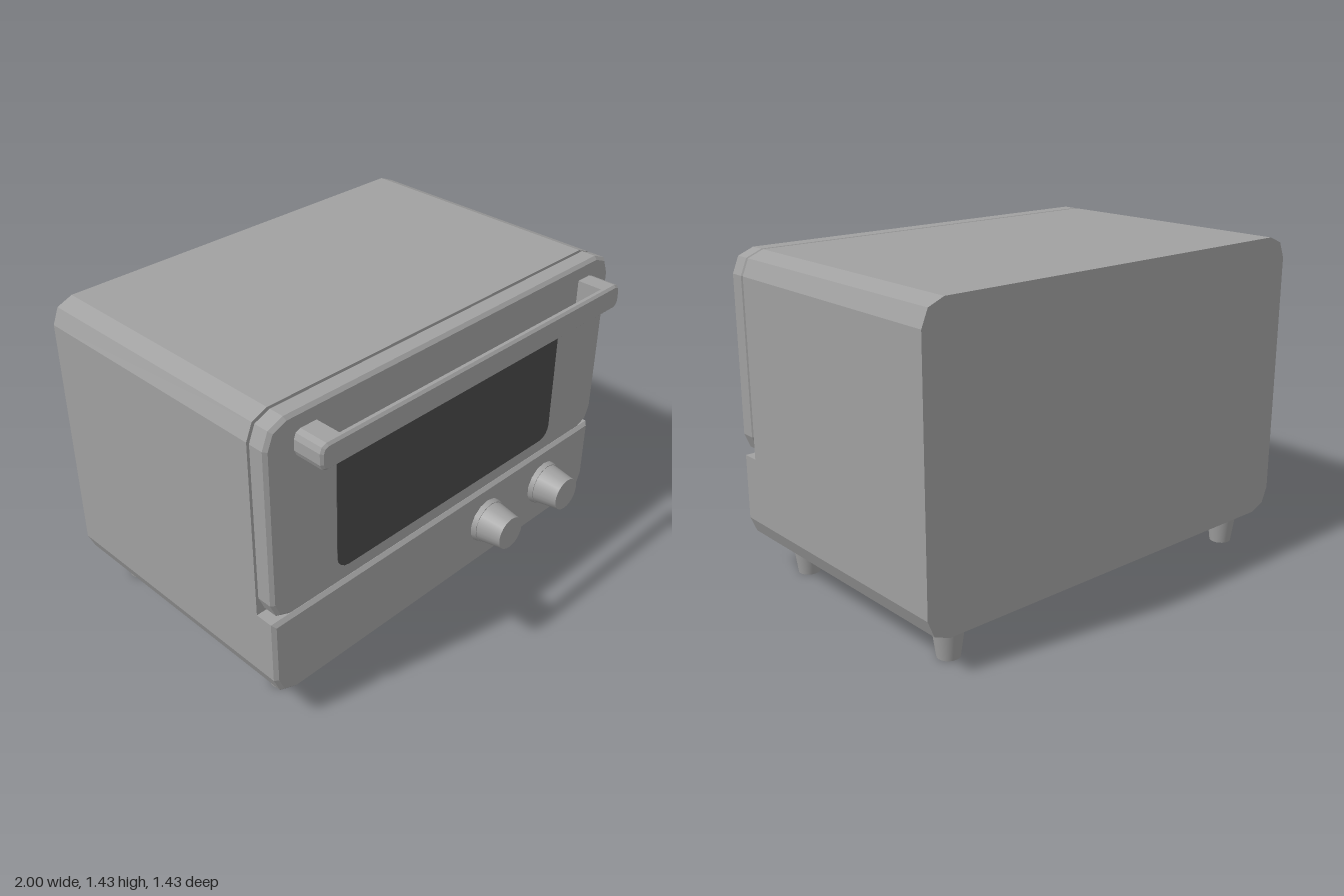
import * as THREE from 'three';

const shell = new THREE.MeshStandardMaterial({ name: 'grey shell', color: 0xa0a0a0 });
const glass = new THREE.MeshStandardMaterial({ name: 'dark glass', color: 0x494949 });

// Rectangle with a faceted radius per corner: bottom left, bottom right, top right, top left
function roundedRect(x0, x1, y0, y1, radii, segments = 2) {
  const corners = [[x0, y0, 1, 1], [x1, y0, -1, 1], [x1, y1, -1, -1], [x0, y1, 1, -1]];
  const points = [];
  corners.forEach(([x, y, sx, sy], i) => {
    const r = radii[i];
    if (!r) { points.push(new THREE.Vector2(x, y)); return; }
    for (let k = 0; k <= segments; k++) {
      const a = Math.PI + (i + k / segments) * Math.PI / 2;
      points.push(new THREE.Vector2(x + sx * r + r * Math.cos(a), y + sy * r + r * Math.sin(a)));
    }
  });
  return new THREE.Shape(points);
}

// Slab from z0 to z1 whose bevel stays inside the outline
function slab(name, shape, z0, z1, bevel, material = shell) {
  const geometry = new THREE.ExtrudeGeometry(shape, {
    depth: z1 - z0 - 2 * bevel, bevelEnabled: bevel > 0, bevelThickness: bevel,
    bevelSize: bevel, bevelOffset: -bevel, bevelSegments: 1, curveSegments: 1,
  });
  geometry.translate(0, 0, z0 + bevel);
  const mesh = new THREE.Mesh(geometry, material);
  mesh.name = name;
  return mesh;
}

function cone(name, rTop, rBottom, height, sides) {
  const mesh = new THREE.Mesh(new THREE.CylinderGeometry(rTop, rBottom, height, sides), shell);
  mesh.name = name;
  return mesh;
}

export function createModel() {
  const oven = new THREE.Group();
  oven.name = 'toasterOven';

  // Main case and the control panel stepping forward below the door
  oven.add(slab('case', roundedRect(-1, 1, 0.15, 1.433, [0.1, 0.1, 0.1, 0.1]), -0.717, 0.475, 0));
  oven.add(slab('controlPanel', roundedRect(-1, 1, 0.15, 0.541, [0.1, 0.1, 0, 0]), 0.44, 0.57, 0.015));

  // Door and window
  oven.add(slab('door', roundedRect(-1, 1, 0.547, 1.433, [0.09, 0.09, 0.1, 0.1]), 0.476, 0.57, 0.014));
  oven.add(slab('window', roundedRect(-0.665, 0.665, 0.62, 1.22, [0.06, 0.06, 0.06, 0.06], 4),
    0.567, 0.573, 0, glass));

  // Handle: long bar on two posts
  const handle = new THREE.Group();
  handle.name = 'handle';
  handle.add(slab('handleBar', roundedRect(-0.873, 0.873, 1.257, 1.368, [0.032, 0.032, 0.032, 0.032]),
    0.682, 0.717, 0.01));
  handle.add(slab('handlePostLeft', roundedRect(0.765, 0.873, 1.257, 1.368, [0, 0.032, 0.032, 0]),
    0.578, 0.7, 0));
  handle.add(slab('handlePostRight', roundedRect(-0.873, -0.765, 1.257, 1.368, [0.032, 0, 0, 0.032]),
    0.578, 0.7, 0));
  oven.add(handle);

  // Knobs: flat collar with a tapered grip
  for (const x of [0.26, 0.665]) {
    const knob = new THREE.Group();
    knob.name = 'knob';
    const collar = cone('knobCollar', 0.1, 0.107, 0.025, 14);
    collar.position.y = 0.0125;
    const grip = cone('knobGrip', 0.078, 0.096, 0.118, 24);
    grip.position.y = 0.082;
    knob.add(collar, grip);
    knob.rotation.x = Math.PI / 2;
    knob.position.set(x, 0.36, 0.568);
    oven.add(knob);
  }

  // Four tapered feet
  for (const x of [-0.818, 0.818]) {
    for (const z of [0.385, -0.603]) {
      const foot = cone('foot', 0.069, 0.048, 0.152, 20);
      foot.position.set(x, 0.076, z);
      oven.add(foot);
    }
  }
  return oven;
}
